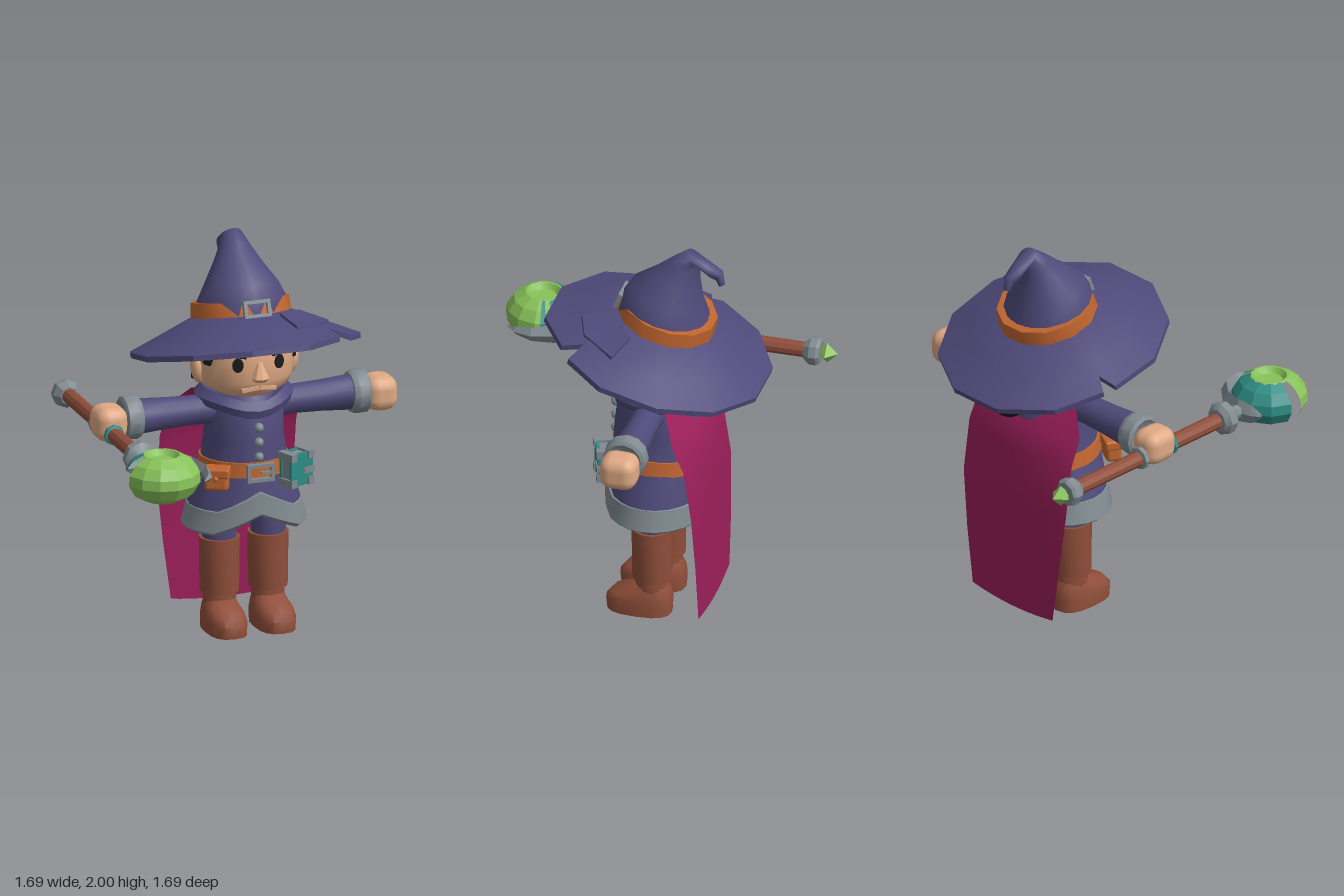
import * as THREE from 'three';
import { toCreasedNormals } from 'three/addons/utils/BufferGeometryUtils.js';
import { RoundedBoxGeometry } from 'three/addons/geometries/RoundedBoxGeometry.js';

const mat = (name, color, side = THREE.FrontSide) => {
  const m = new THREE.MeshStandardMaterial({ color, side });
  m.name = name;
  return m;
};
const M = {
  cloth: mat('purple cloth', 0x4f4a7a), skin: mat('skin', 0xe0aa84), hair: mat('black hair', 0x1c1c1e),
  leather: mat('orange leather', 0xc0652f), metal: mat('grey metal', 0x808b90), boot: mat('brown leather', 0x8f4e3a),
  green: mat('green glow', 0x88c25a), teal: mat('teal', 0x2c8c84),
  cape: mat('magenta cape', 0x9c1f5a, THREE.DoubleSide),
};
const ZC = -0.14; // body axis in z

function add(parent, name, geo, material, x = 0, y = 0, z = 0, rx = 0, ry = 0, rz = 0) {
  const mesh = new THREE.Mesh(geo, material);
  mesh.name = name;
  mesh.position.set(x, y, z);
  mesh.rotation.set(rx, ry, rz);
  parent.add(mesh);
  return mesh;
}

// Skin closed rings of [x, y, z] points, listed bottom to top, with optional end caps
function loft(rings, capStart = true, capEnd = true, crease = 0.7) {
  const pos = [], n = rings[0].length;
  const tri = (...p) => p.forEach(v => pos.push(...v));
  const mid = r => [0, 1, 2].map(k => r.reduce((s, p) => s + p[k], 0) / n);
  for (let i = 0; i < rings.length - 1; i++) for (let j = 0; j < n; j++) {
    const k = (j + 1) % n, a = rings[i], b = rings[i + 1];
    tri(a[j], a[k], b[k]);
    tri(a[j], b[k], b[j]);
  }
  const s = rings[0], e = rings[rings.length - 1], cs = mid(s), ce = mid(e);
  for (let j = 0; j < n; j++) {
    const k = (j + 1) % n;
    if (capStart) tri(s[k], s[j], cs);
    if (capEnd) tri(e[j], e[k], ce);
  }
  const g = new THREE.BufferGeometry();
  g.setAttribute('position', new THREE.Float32BufferAttribute(pos, 3));
  return toCreasedNormals(g, crease);
}
const angles = n => Array.from({ length: n }, (_, i) => (i / n) * Math.PI * 2);
// Elliptical ring; y may depend on the angle (0 = front)
const ring = (y, hx, hz, zc = ZC, n = 24, pw = 1) => angles(n).map(a => {
  const s = Math.sin(a), c = Math.cos(a);
  return [hx * Math.sign(s) * Math.abs(s) ** pw, typeof y === 'function' ? y(a) : y, zc + hz * Math.sign(c) * Math.abs(c) ** pw];
});
const turned = (pts, n = 12, start = 0, len = Math.PI * 2) =>
  toCreasedNormals(new THREE.LatheGeometry(pts.map(p => new THREE.Vector2(...p)), n, start, len), 0.6);
// Rectangular buckle frame
function frame(w, h, t, d) {
  const s = new THREE.Shape([[-w, -h], [w, -h], [w, h], [-w, h]].map(p => new THREE.Vector2(...p)));
  const u = w - t, v = h - t;
  s.holes.push(new THREE.Path([[-u, -v], [-u, v], [u, v], [u, -v]].map(p => new THREE.Vector2(...p))));
  return new THREE.ExtrudeGeometry(s, { depth: d, bevelEnabled: false });
}

function buildLegs(g) {
  for (const s of [1, -1]) {
    const leg = new THREE.Group();
    leg.name = s > 0 ? 'leftLeg' : 'rightLeg';
    leg.position.x = s * 0.127;
    g.add(leg);
    add(leg, 'trouser', new THREE.CylinderGeometry(0.09, 0.085, 0.25, 14), M.cloth, 0, 0.56, ZC);
    add(leg, 'bootShaft', turned([[0, 0.1], [0.083, 0.1], [0.083, 0.185], [0.098, 0.19], [0.102, 0.47], [0.085, 0.47], [0, 0.46]], 14), M.boot, 0, 0, ZC);
    add(leg, 'foot', loft([ring(0, 0.098, 0.163, -0.08, 16, 0.75), ring(0.06, 0.1, 0.168, -0.078, 16, 0.75),
      ring(0.1, 0.094, 0.15, -0.092, 16, 0.8), ring(0.125, 0.085, 0.11, -0.125, 16, 0.85), ring(0.16, 0.075, 0.08, ZC, 16)], true, true, 0.9), M.boot);
  }
}

function buildCoat(g) {
  const low = a => 0.53 + 0.1 * Math.max(0, 1 - Math.min(a, Math.PI * 2 - a) / 0.75);
  const up = d => a => low(a) + d;
  add(g, 'coat', loft([ring(up(0.1), 0.29, 0.245), ring(0.78, 0.245, 0.238), ring(0.86, 0.215, 0.228), ring(1, 0.195, 0.22),
    ring(1.12, 0.195, 0.205), ring(1.2, 0.17, 0.18), ring(1.24, 0.12, 0.14)], false), M.cloth);
  add(g, 'hem', loft([ring(up(0.03), 0.26, 0.21), ring(low, 0.3, 0.248), ring(up(0.015), 0.317, 0.262),
    ring(up(0.12), 0.288, 0.256), ring(up(0.13), 0.262, 0.235)], false, false), M.metal);
  add(g, 'coatLining', loft([ring(up(0.03), 0.265, 0.215), ring(0.7, 0.15, 0.12)], false, true).scale(1, 1, 1), M.cloth).material = M.cloth;
  add(g, 'coatUnderside', loft([ring(up(0.04), 0.28, 0.235), ring(up(0.06), 0.28, 0.235)]), M.cloth);
  const dip = d => a => d - 0.045 * Math.max(0, Math.cos(a)) ** 4;
  add(g, 'collar', loft([ring(dip(1.15), 0.17, 0.17), ring(dip(1.17), 0.235, 0.215), ring(dip(1.21), 0.248, 0.225),
    ring(dip(1.25), 0.21, 0.2), ring(dip(1.21), 0.13, 0.13)], true, true), M.cloth);
  for (const y of [1.08, 1.005, 0.93])
    add(g, 'button', new THREE.SphereGeometry(0.025, 8, 6), M.metal, 0, y, 0.08);
  // Belt and everything hanging from it
  const tilt = d => a => d + 0.015 * Math.cos(a);
  add(g, 'belt', loft([ring(tilt(0.815), 0.2, 0.2), ring(tilt(0.815), 0.232, 0.242), ring(tilt(0.89), 0.22, 0.236), ring(tilt(0.89), 0.19, 0.2)], false, false), M.leather);
  add(g, 'beltBuckle', frame(0.07, 0.046, 0.018, 0.025), M.metal, 0, 0.855, 0.09);
  add(g, 'buckleTongue', new THREE.BoxGeometry(0.06, 0.014, 0.015), M.metal, 0.03, 0.855, 0.108);
  const pouch = new THREE.Group();
  pouch.name = 'pouch';
  pouch.position.set(-0.21, 0.84, 0.055);
  pouch.rotation.y = -0.5;
  g.add(pouch);
  add(pouch, 'pouchBag', new RoundedBoxGeometry(0.12, 0.1, 0.08, 2, 0.02), M.leather, 0, -0.012, 0);
  add(pouch, 'pouchFlap', new RoundedBoxGeometry(0.13, 0.05, 0.095, 2, 0.012), M.leather, 0, 0.03, 0);
  add(pouch, 'pouchStud', new THREE.SphereGeometry(0.014, 8, 6), M.leather, 0, 0.005, 0.05);
  const book = new THREE.Group();
  book.name = 'book';
  book.position.set(0.195, 0.855, 0.08);
  book.rotation.y = 0.4;
  g.add(book);
  add(book, 'bookPages', new THREE.BoxGeometry(0.13, 0.15, 0.06), M.metal);
  for (const s of [1, -1]) {
    add(book, 'bookCover', new THREE.BoxGeometry(0.145, 0.165, 0.016), M.teal, 0, 0, s * 0.036);
    for (const t of [1, -1])
      add(book, 'bookCorner', new THREE.BoxGeometry(0.04, 0.04, 0.1), M.metal, s * 0.057, t * 0.067, 0);
  }
  add(book, 'bookStrap', new THREE.BoxGeometry(0.07, 0.03, 0.1), M.metal, 0.045, -0.01, 0);
}

function buildArms(g) {
  for (const s of [1, -1]) {
    const arm = new THREE.Group();
    arm.name = s > 0 ? 'leftArm' : 'rightArm';
    arm.position.set(0, 1.135, ZC);
    arm.rotation.z = -s * Math.PI / 2;
    g.add(arm);
    add(arm, 'sleeve', turned([[0, 0.08], [0.085, 0.1], [0.073, 0.26], [0.078, 0.4], [0.09, 0.57]], 14), M.cloth);
    add(arm, 'cuff', turned([[0.08, 0.545], [0.1, 0.55], [0.112, 0.575], [0.108, 0.63], [0.09, 0.64], [0.07, 0.625], [0, 0.62]], 12), M.metal);
    add(arm, 'hand', new RoundedBoxGeometry(0.175, 0.165, 0.188, 2, 0.062), M.skin, s * 0.013, 0.705, 0);
  }
}

function buildHead(g) {
  add(g, 'head', loft([ring(1.2, 0.1, 0.1), ring(1.235, 0.165, 0.18), ring(1.27, 0.222, 0.22), ring(1.32, 0.245, 0.237),
    ring(1.42, 0.247, 0.235), ring(1.54, 0.24, 0.225), ring(1.6, 0.19, 0.18)], true, true, 1), M.skin);
  // Hairline: high over the brow, sideburns before the ears, full behind them
  const low = a => {
    const d = Math.min(a, Math.PI * 2 - a) * 180 / Math.PI;
    return d < 40 ? 1.545 - d * 0.0006 : d < 58 ? 1.48 : d < 68 ? 1.39 : d < 98 ? 1.42 : 1.27;
  };
  const top = a => 1.55 + 0.06 * Math.cos(a);
  const mix = t => a => low(a) + (top(a) - low(a)) * t;
  add(g, 'hair', loft([ring(low, 0.235, 0.225, ZC, 48), ring(mix(0.03), 0.26, 0.247, ZC, 48), ring(mix(0.6), 0.262, 0.248, ZC, 48),
    ring(top, 0.232, 0.23, ZC, 48)], false, true, 1), M.hair);
  add(g, 'bunTie', new THREE.SphereGeometry(0.05, 10, 8), M.hair, 0, 1.28, -0.38);
  add(g, 'bun', new THREE.IcosahedronGeometry(0.092, 2), M.hair, 0, 1.215, -0.442);
  for (const s of [1, -1]) {
    add(g, 'ear', new THREE.SphereGeometry(1, 10, 8), M.skin, s * 0.245, 1.35, -0.13, 0, 0, -s * 0.15).scale.set(0.035, 0.075, 0.045);
    add(g, 'eye', new THREE.CylinderGeometry(1, 1, 0.009, 16).rotateX(Math.PI / 2), M.hair, s * 0.108, 1.412, 0.074, 0, s * 0.42, 0).scale.set(0.028, 0.036, 1);
    add(g, 'eyebrow', new THREE.BoxGeometry(0.1, 0.026, 0.02), M.hair, s * 0.112, 1.465, 0.066, 0, s * 0.42, s * 0.1);
    add(g, 'lip', new THREE.BoxGeometry(0.09, 0.018, 0.02), M.skin, s * 0.044, 1.287, 0.085, 0, s * 0.15, -s * 0.16);
  }
  add(g, 'nose', loft([ring(1.325, 0.03, 0.02, 0.1, 8), ring(1.345, 0.046, 0.044, 0.098, 8), ring(1.38, 0.03, 0.03, 0.093, 8),
    ring(1.425, 0.012, 0.012, 0.088, 8)], true, true, 0.5), M.skin);
}

function buildHat(g) {
  const hat = new THREE.Group();
  hat.name = 'hat';
  hat.position.set(0, 1.45, ZC);
  hat.rotation.x = -0.26;
  g.add(hat);
  // Twelve-sided brim with two torn notches given as [degrees, radius]
  const rim = [[41, 0.545], [47, 0.46], [51, 0.56], [251, 0.56], [254, 0.48], [258, 0.56]];
  for (let d = 15; d < 360; d += 30) if (d !== 45 && d !== 255) rim.push([d, 0.577]);
  rim.sort((a, b) => a[0] - b[0]);
  const band = (r, y) => rim.map(([d, R]) => {
    const a = d * Math.PI / 180, q = r || R;
    return [q * Math.sin(a), y + (r ? 0 : (0.577 - R) * 0.45), q * Math.cos(a)];
  });
  add(hat, 'brim', loft([band(0.2, 0.12), band(0.4, 0.052), band(0, -0.028), band(0, 0), band(0.42, 0.07), band(0.225, 0.16)], true, true, 0.5), M.cloth);
  // Sewn patch lying on the brim slope
  const patch = [[0.114, 0.25], [0.15, 0.385], [0.286, 0.33], [0.395, 0.155], [0.264, 0.11]];
  const layer = d => patch.map(([x, z]) => [x, 0.45 * (0.577 - Math.hypot(x, z)) + d, z]);
  add(hat, 'patch', loft([layer(-0.02), layer(0.012)], false, true, 0.4), M.cloth);
  add(hat, 'hatBand', turned([[0.2, 0.13], [0.252, 0.13], [0.242, 0.222], [0.2, 0.222]], 12), M.leather, 0, 0, 0, 0, Math.PI / 12);
  add(hat, 'hatBuckle', frame(0.07, 0.044, 0.018, 0.025), M.metal, 0, 0.178, 0.234, -0.1);
  // Crooked cone: y, z, radius, backward lean
  const path = [[1.6, -0.17, 0.235, 0.26], [1.67, -0.175, 0.222, 0.25], [1.75, -0.178, 0.185, 0.2], [1.85, -0.23, 0.118, 0.15],
    [1.92, -0.277, 0.075, 0.3], [1.962, -0.322, 0.052, 0.8], [1.908, -0.4, 0.042, 1.3], [1.88, -0.448, 0.03, 2.1], [1.83, -0.46, 0.017, 2.8]];
  add(g, 'hatCone', loft(path.map(([y, z, r, t]) => angles(16).map(a =>
    [r * Math.sin(a), y + r * Math.cos(a) * Math.sin(t), z + r * Math.cos(a) * Math.cos(t)])), false, true, 1.2), M.cloth);
}

function buildCape(g) {
  // Rows from the top: y, half width, z, forward wrap of the edges
  const rows = [[1.2, 0.24, -0.25, 0.02], [1.14, 0.3, -0.3, 0.03], [1.05, 0.35, -0.365, 0.06], [0.92, 0.356, -0.41, 0.045],
    [0.65, 0.356, -0.42, 0.015], [0.35, 0.32, -0.422, 0.005], [0.05, 0.278, -0.425, 0.005]];
  const geo = new THREE.PlaneGeometry(2, 1, 10, rows.length - 1), p = geo.attributes.position;
  for (let i = 0; i < p.count; i++) {
    const u = p.getX(i), [y, w, z, wrap] = rows[Math.floor(i / 11)];
    p.setXYZ(i, u * w, y + 0.02 * u * u, z + wrap * u * u);
  }
  geo.computeVertexNormals();
  add(g, 'cape', geo, M.cape);
}

function buildStaff(root) {
  const staff = new THREE.Group();
  staff.name = 'staff';
  staff.position.set(-0.656, 1.087, 0);
  root.add(staff);
  const along = (name, pts, m, n = 8) => add(staff, name, turned(pts, n), m, 0, 0, 0, Math.PI / 2);
  along('shaft', [[0.038, -0.7], [0.04, 0.32]], M.boot, 10);
  along('buttCap', [[0, -0.765], [0.06, -0.765], [0.072, -0.75], [0.072, -0.715], [0.045, -0.68], [0, -0.68]], M.metal);
  along('headCollar', [[0, 0.28], [0.06, 0.285], [0.085, 0.31], [0.085, 0.35], [0.035, 0.395], [0.035, 0.43], [0, 0.43]], M.metal);
  along('gripRing', [[0.03, -0.265], [0.058, -0.26], [0.058, -0.235], [0.03, -0.22]], M.metal);
  along('gripWrap', [[0.03, -0.055], [0.052, -0.05], [0.052, -0.03], [0.03, -0.02]], M.teal);
  add(staff, 'buttGem', new THREE.OctahedronGeometry(0.055), M.green, 0, 0, -0.795);
  // Faceted orb with a shallow dish on top
  const orb = [[0, -0.118], [0.09, -0.112], [0.155, -0.075], [0.19, -0.015], [0.185, 0.035], [0.15, 0.085], [0.095, 0.117]];
  const deg = Math.PI / 180;
  const half = (name, m, n, start, len) => add(staff, name, new THREE.LatheGeometry(orb.map(p => new THREE.Vector2(...p)), n, start * deg, len * deg).toNonIndexed(), m, 0, 0, 0.65).geometry.computeVertexNormals();
  half('orbFront', M.green, 7, 280, 160 + 40);
  half('orbBack', M.teal, 5, 100, 160);
  add(staff, 'orbDish', turned([[0.1, 0.112], [0.095, 0.118], [0.085, 0.118], [0.065, 0.09], [0, 0.085]], 12), M.green, 0, 0, 0.65);
  // Crescent claw round the orb: degrees from the back, radius, half height, half thickness
  const claw = [[-34, 0.215, 0.012, 0.008], [-20, 0.21, 0.05, 0.02], [0, 0.212, 0.062, 0.025], [28, 0.215, 0.06, 0.025], [60, 0.222, 0.052, 0.025],
    [90, 0.228, 0.038, 0.022], [112, 0.228, 0.022, 0.018], [128, 0.22, 0.004, 0.004]];
  add(staff, 'claw', loft(claw.map(([d, r, h, t]) => [[t, 0], [0, h], [-t, 0], [0, -h]].map(([dr, y]) =>
    [Math.sin(d * deg) * (r + dr), y, 0.65 - Math.cos(d * deg) * (r + dr)])), true, true, 0.4), M.metal);
}

export function createModel() {
  const root = new THREE.Group();
  root.name = 'wizard';
  const body = new THREE.Group();
  body.name = 'figure';
  body.position.x = 0.057;
  root.add(body);
  for (const build of [buildLegs, buildCoat, buildArms, buildHead, buildHat, buildCape]) build(body);
  buildStaff(root);
  return root;
}
